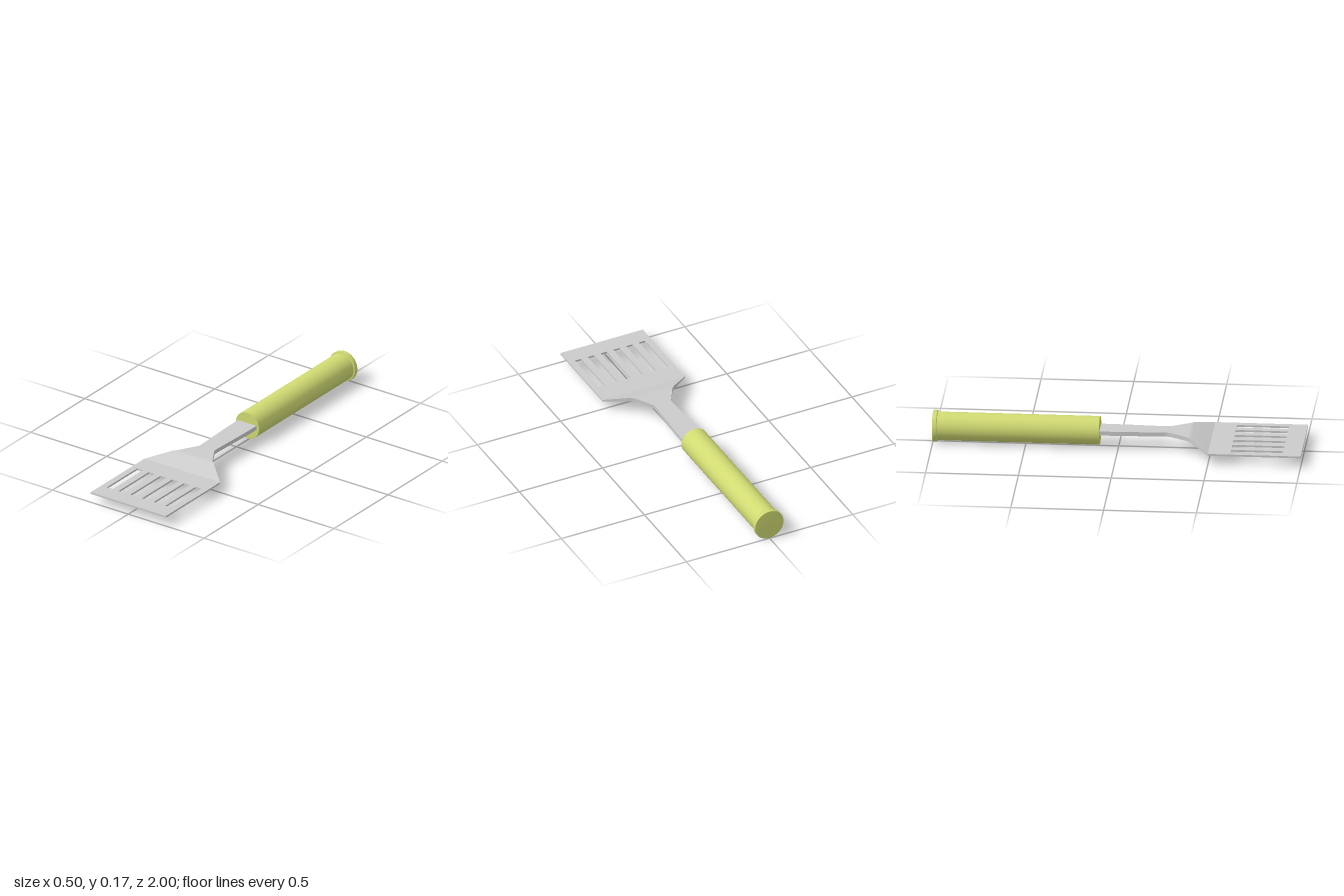
import * as THREE from 'three';

const steel = new THREE.MeshStandardMaterial({ color: 0xcccccc });
const green = new THREE.MeshStandardMaterial({ color: 0xd0da72 });

const AXIS_Y = 0.089; // height of the handle's axis

function addMesh(group, name, geometry, material) {
  const mesh = new THREE.Mesh(geometry, material);
  mesh.name = name;
  group.add(mesh);
  return mesh;
}

// Flat slotted blade, drawn in plan (shape y becomes z) and given a thin gauge
function bladeGeometry() {
  const shape = new THREE.Shape();
  shape.moveTo(-0.248, 0.5).lineTo(0.248, 0.5).lineTo(0.248, 1).lineTo(-0.248, 1).closePath();
  for (let i = 0; i < 6; i++) {
    const x = (i - 2.5) * 0.077;
    const slot = new THREE.Path();
    slot.moveTo(x - 0.019, 0.62).lineTo(x - 0.019, 0.9);
    slot.lineTo(x + 0.019, 0.9).lineTo(x + 0.019, 0.62).closePath();
    shape.holes.push(slot);
  }
  const geometry = new THREE.ExtrudeGeometry(shape, { depth: 0.01, bevelEnabled: false });
  return geometry.rotateX(Math.PI / 2).translate(0, 0.063, 0);
}

// Neck and shoulder: a box whose slices follow stations [z, half width, bottom, top]
function neckGeometry() {
  const stations = [
    [-0.2, 0.063, 0.082, 0.105],
    [0, 0.06, 0.082, 0.105],
    [0.08, 0.057, 0.082, 0.105],
    [0.25, 0.05, 0.082, 0.105],
    [0.275, 0.051, 0.082, 0.105],
    [0.38, 0.113, 0.083, 0.105],
    [0.4, 0.136, 0.081, 0.102],
    [0.5, 0.248, 0.053, 0.063],
  ];
  const n = stations.length - 1;
  const geometry = new THREE.BoxGeometry(2, 1, 1, 1, 1, n);
  const p = geometry.attributes.position;
  for (let i = 0; i < p.count; i++) {
    const [z, half, low, high] = stations[Math.round((p.getZ(i) + 0.5) * n)];
    p.setXYZ(i, p.getX(i) * half, p.getY(i) > 0 ? high : low, z);
  }
  geometry.computeVertexNormals();
  return geometry;
}

// Round part along the handle's axis; profile points are [radius, distance back]
function turned(profile) {
  const points = profile.map(([r, d]) => new THREE.Vector2(r, d));
  return new THREE.LatheGeometry(points, 48).rotateX(-Math.PI / 2).translate(0, AXIS_Y, 0);
}

export function createModel() {
  const model = new THREE.Group();
  model.name = 'slottedTurner';

  const head = new THREE.Group();
  head.name = 'head';
  addMesh(head, 'slottedBlade', bladeGeometry(), steel);
  addMesh(head, 'neck', neckGeometry(), steel);

  const handle = new THREE.Group();
  handle.name = 'handle';
  addMesh(handle, 'grip', turned([[0, 0.1], [0.076, 0.1], [0.077, 0.102], [0.077, 0.98]]), green);
  addMesh(handle, 'endCap', turned([
    [0.07, 0.975], [0.084, 0.975], [0.086, 0.979], [0.086, 0.996], [0.084, 1], [0, 1],
  ]), green);

  model.add(head, handle);
  return model;
}
